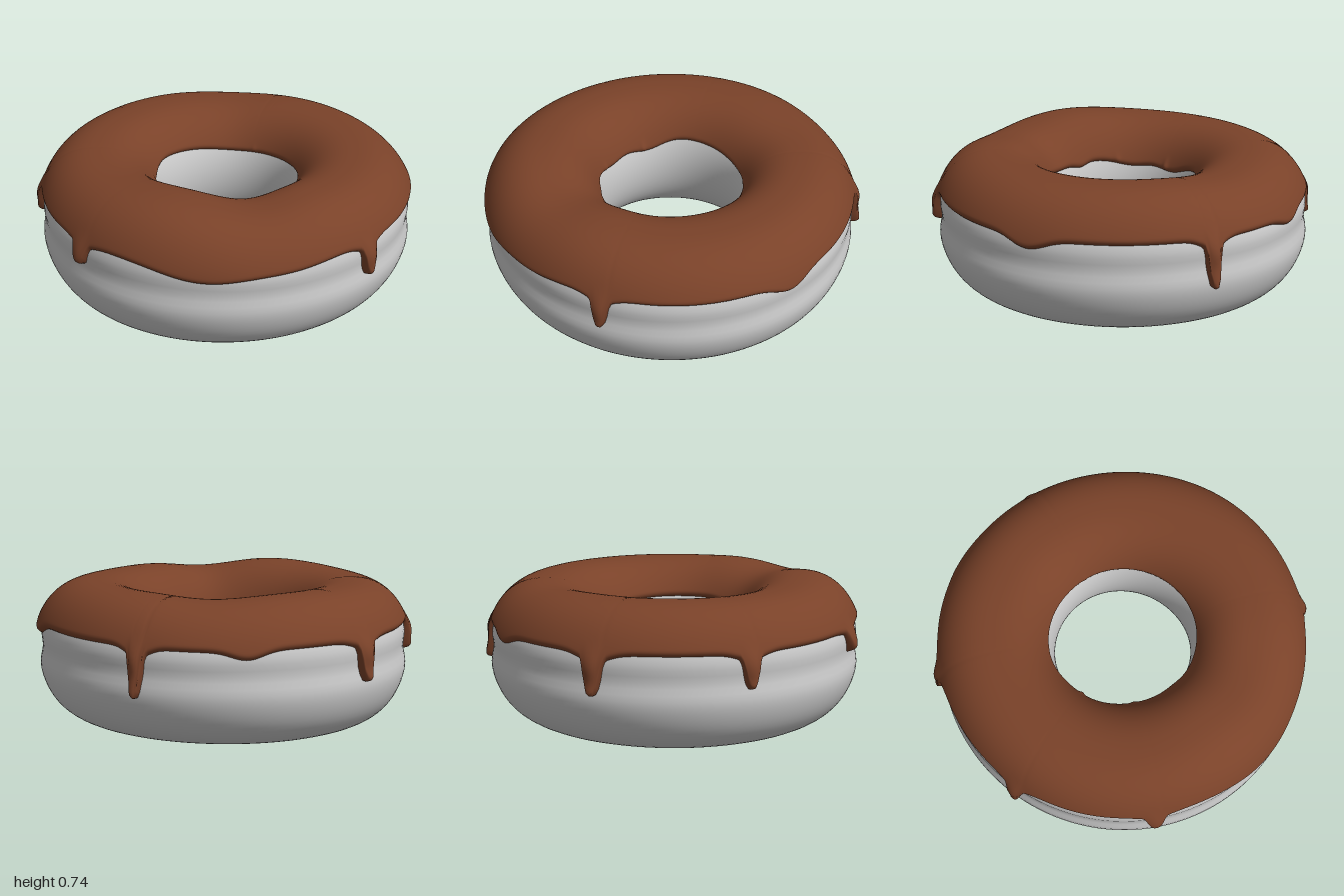
import * as THREE from 'three';

const RING = 0.667, HALF_W = 0.305, MID_Y = 0.352, HALF_H = 0.347;
const DEG = Math.PI / 180;

// Smooth bump around an angle (degrees); power 2 is soft, 4 is blunt.
function bump(deg, centre, width, power = 2) {
  const d = Math.abs(((deg - centre + 540) % 360) - 180);
  return Math.exp(-Math.pow(d / width, power));
}

// Gentle hills and hollows of the top: angle, height, width
const TOP_WAVES = [[115, 0.026, 26], [80, -0.024, 18], [275, -0.02, 22], [55, 0.006, 15]];

// Point of the ring body at angle t and section angle p, pushed out by "lift".
function ringPoint(t, p, lift = 0) {
  const deg = t / DEG;
  const c = Math.cos(p), s = Math.sin(p);
  let r = RING + HALF_W * Math.sign(c) * Math.pow(Math.abs(c), 0.82);
  let y = MID_Y + HALF_H * s;
  // shallow waist around the outside
  if (c > 0) r -= 0.021 * Math.exp(-Math.pow((y - 0.375) / 0.065, 2));
  // hand-made unevenness
  r += 0.005 * Math.sin(3 * t + 1) * c;
  const wave = TOP_WAVES.reduce((sum, [a, h, w]) => sum + h * bump(deg, a, w), -0.008);
  y += Math.max(s, 0) * wave;
  y += Math.max(-s, 0) * -0.005 * Math.cos(t - Math.PI);
  const nx = c / HALF_W, ny = s / HALF_H, n = Math.hypot(nx, ny);
  r += lift * nx / n;
  y += lift * ny / n;
  return [0.012 + r * Math.cos(t), y, -0.008 + r * Math.sin(t)];
}

// Grid surface closed around the ring, optionally closed around the section.
function ringSurface(segs, rows, closed, point) {
  const pos = [], idx = [], cols = closed ? rows : rows + 1;
  for (let i = 0; i < segs; i++)
    for (let j = 0; j < cols; j++) pos.push(...point((i / segs) * 2 * Math.PI, j / rows));
  for (let i = 0; i < segs; i++)
    for (let j = 0; j < rows; j++) {
      const a = i * cols + j, b = i * cols + ((j + 1) % cols);
      const k = ((i + 1) % segs) * cols;
      const c = k + j, d = k + ((j + 1) % cols);
      idx.push(a, b, c, b, d, c);
    }
  const g = new THREE.BufferGeometry();
  g.setAttribute('position', new THREE.Float32BufferAttribute(pos, 3));
  g.setIndex(idx);
  g.computeVertexNormals();
  return g;
}

// Long drips: angle, depth, half width
const DRIPS = [
  [44.5, 0.165, 2.2], [136, 0.11, 2.5], [180, 0.17, 2.3],
  [225, 0.2, 2.6], [294.5, 0.24, 2],
];
// Soft sags of the outer and inner rims: angle, depth, width
const OUTER_SAGS = [[96, 0.055, 16], [263, 0.04, 6], [348, 0.05, 7], [70, 0.015, 12]];
const INNER_SAGS = [[103, 0.02, 8], [150, 0.03, 18], [185, 0.05, 18]];

const sag = (deg, list) => list.reduce((sum, [a, d, w]) => sum + d * bump(deg, a, w), 0);
const sectionAngle = (y) => Math.asin((y - MID_Y) / HALF_H);

function icingPoint(t, u) {
  const deg = t / DEG;
  let outerY = 0.508 - sag(deg, OUTER_SAGS), drip = 0;
  for (const [a, d, w] of DRIPS) {
    outerY -= d * (0.8 * bump(deg, a, w, 3.5) + 0.2 * bump(deg, a, w * 2.4));
    drip = Math.max(drip, bump(deg, a, w * 1.1));
  }
  const innerY = 0.52 + 0.012 * Math.sin(2 * t + 0.6) - sag(deg, INNER_SAGS);
  const p0 = sectionAngle(outerY), p1 = Math.PI - sectionAngle(innerY);
  const v = 0.5 - 0.5 * Math.cos(Math.PI * u); // rows crowd towards both rims
  const p = p0 + (p1 - p0) * v;
  // rounded rims that sink into the dough
  const edge = Math.min(1, (Math.min(v, 1 - v) * (p1 - p0) * 0.33) / 0.024);
  const round = Math.sqrt(1 - (1 - edge) ** 2);
  // drips stand out below the rim and melt into the icing above it
  const height = MID_Y + HALF_H * Math.sin(p);
  const swell = 0.026 * drip * (1 - THREE.MathUtils.smoothstep(height, 0.4, 0.56));
  const side = 0.01 * bump(deg, 0, 30) * Math.max(0, Math.cos(p));
  return ringPoint(t, p, -0.006 + round * (0.029 + swell + side));
}

export function createModel() {
  const group = new THREE.Group();
  group.name = 'donut';

  const dough = new THREE.Mesh(
    ringSurface(144, 72, true, (t, u) => ringPoint(t, u * 2 * Math.PI)),
    new THREE.MeshStandardMaterial({ color: 0xcccccc })
  );
  dough.name = 'dough';

  const icing = new THREE.Mesh(
    ringSurface(540, 48, false, icingPoint),
    new THREE.MeshStandardMaterial({ color: 0x7a4229 })
  );
  icing.name = 'icing';

  group.add(dough, icing);
  return group;
}
